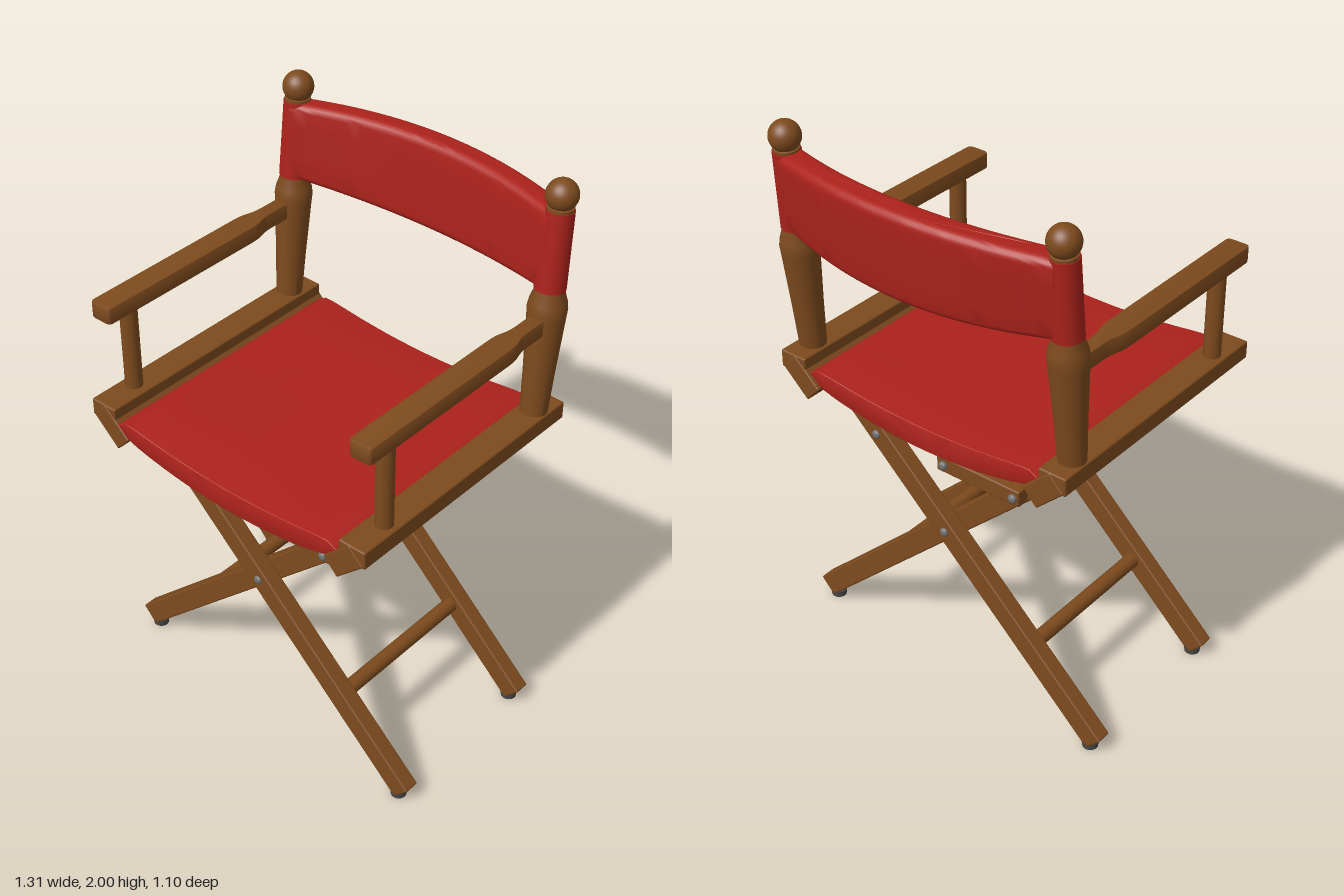
import * as THREE from 'three';
import { toCreasedNormals } from 'three/addons/utils/BufferGeometryUtils.js';
import { RoundedBoxGeometry } from 'three/addons/geometries/RoundedBoxGeometry.js';

const mat = (color) => new THREE.MeshStandardMaterial({ color });
const wood = mat(0x7d4a1d), fabric = mat(0xac221b), metal = mat(0x707070), rubber = mat(0x4a4a4a);

const SLOPE = 0.754;            // angle of the crossed legs
const PIVOT = 0.627;            // height of the leg crossing
const LEAN = 0.08;              // backward tilt of the back posts

export function createModel() {
  const model = new THREE.Group();

  function add(name, geometry, material, x, y, z, parent = model) {
    const mesh = new THREE.Mesh(geometry, material);
    mesh.name = name;
    mesh.position.set(x, y, z);
    parent.add(mesh);
    return mesh;
  }
  const box = (w, h, d, r = 0.006) => new RoundedBoxGeometry(w, h, d, 2, r);
  const rodZ = (r, length) => new THREE.CylinderGeometry(r, r, length, 20).rotateX(Math.PI / 2);

  // Curved padded strip: centre line and half thickness are functions of s = -1..1
  function strip(halfWidth, centre, half, depth, bevel) {
    const top = [], bottom = [], n = 32;
    for (let i = 0; i <= n; i++) {
      const s = -1 + 2 * i / n;
      top.push(new THREE.Vector2(s * halfWidth, centre(s) + half(s)));
      bottom.push(new THREE.Vector2(s * halfWidth, centre(s) - half(s)));
    }
    const shape = new THREE.Shape(bottom.concat(top.reverse()));
    return new THREE.ExtrudeGeometry(shape, {
      depth: depth - 2 * bevel, steps: 4, bevelEnabled: true, bevelThickness: bevel,
      bevelSize: bevel, bevelOffset: -bevel, bevelSegments: 5,
    }).translate(0, 0, bevel - depth / 2);
  }

  // Crossed legs, feet and low stretchers; the two frames are offset in z
  for (const side of [1, -1]) {
    const legZ = side > 0 ? [0.37, -0.243] : [0.307, -0.304];
    for (const z of legZ) {
      const leg = add('leg', box(1.484, 0.08, 0.058), wood,
        side * 0.122 * Math.cos(SLOPE), PIVOT - 0.122 * Math.sin(SLOPE), z);
      leg.rotation.z = -side * SLOPE;
      add('foot', new THREE.CylinderGeometry(0.03, 0.027, 0.025, 20), rubber, side * 0.6, 0.0125, z);
    }
    add('stretcher', rodZ(0.027, legZ[0] - legZ[1]), wood, side * 0.345, 0.3, (legZ[0] + legZ[1]) / 2);
  }

  // Folding braces in two halves, with bolts at the joints and leg crossings
  for (const z of [0.338, -0.274]) {
    add('braceRight', box(0.34, 0.06, 0.05), wood, -0.14, 0.898, z - 0.03);
    add('braceLeft', box(0.34, 0.06, 0.05), wood, 0.14, 0.898, z + 0.03);
    for (const [x, y] of [[-0.288, 0.898], [0, 0.898], [0.288, 0.898], [0, PIVOT]]) {
      add('bolt', rodZ(0.016, 0.122), metal, x, y, z);
      for (const end of [1, -1]) {
        const cap = add('boltHead', new THREE.SphereGeometry(0.016, 14, 10), metal, x, y, z + end * 0.061);
        cap.scale.z = 0.6;
      }
    }
  }

  // Seat: sagging fabric with softly rounded ends
  const seat = strip(0.468, (s) => 1.068 + 0.052 * s * s,
    (s) => (0.038 - 0.01 * s * s) * Math.pow(1 - Math.pow(Math.abs(s), 14), 0.5) + 0.004, 0.985, 0.003);
  add('seat', toCreasedNormals(seat, 0.6), fabric, 0, 0, 0.05);

  // Armrest plan: full width in front, narrowed towards the back post
  const plan = new THREE.Shape();
  plan.moveTo(-0.026, 0.35);
  plan.lineTo(-0.026, 0.25);
  plan.bezierCurveTo(-0.026, 0.19, -0.043, 0.2, -0.043, 0.13);
  plan.lineTo(-0.043, -0.5);
  plan.quadraticCurveTo(-0.043, -0.52, -0.023, -0.52);
  plan.lineTo(0.023, -0.52);
  plan.quadraticCurveTo(0.043, -0.52, 0.043, -0.5);
  plan.lineTo(0.043, 0.13);
  plan.bezierCurveTo(0.043, 0.2, 0.026, 0.19, 0.026, 0.25);
  plan.lineTo(0.026, 0.35);
  const armGeometry = toCreasedNormals(new THREE.ExtrudeGeometry(plan, {
    depth: 0.05, bevelEnabled: true, bevelThickness: 0.005, bevelSize: 0.005,
    bevelOffset: -0.005, bevelSegments: 2, curveSegments: 8,
  }).rotateX(-Math.PI / 2), 0.6);

  // Turned back post with a ball on top
  const postProfile = [[0, 0], [0.046, 0], [0.052, 0.15], [0.063, 0.355], [0.065, 0.385], [0.061, 0.41],
    [0.046, 0.455], [0.044, 0.71], [0.044, 0.735], [0.03, 0.74], [0.03, 0.755], [0, 0.755]]
    .map(([r, y]) => new THREE.Vector2(r, y));
  const postGeometry = toCreasedNormals(new THREE.LatheGeometry(postProfile, 32), 0.5);

  const back = new THREE.Group();
  back.name = 'back';
  back.position.set(0, 1.175, -0.355);
  back.rotation.x = -LEAN;
  model.add(back);

  for (const side of [1, -1]) {
    // Side rails: a tilted one at the leg tops and a flat one above it
    const rail = add('seatRail', box(0.14, 0.08, 1.005), wood, side * 0.5, 1.098, 0.045);
    rail.rotation.z = side * SLOPE;
    add('sideRail', box(0.105, 0.065, 1.0), wood, side * 0.533, 1.1425, 0.045);

    add('armrest', armGeometry, wood, side * 0.538, 1.49, 0);
    add('armSupport', new THREE.CylinderGeometry(0.03, 0.03, 0.335, 24), wood, side * 0.538, 1.335, 0.4);

    add('backPost', postGeometry, wood, side * 0.535, 0, 0, back);
    add('knob', new THREE.SphereGeometry(0.053, 28, 20), wood, side * 0.535, 0.774, 0, back);
    add('backSleeve', new THREE.CylinderGeometry(0.047, 0.052, 0.272, 28), fabric, side * 0.535, 0.59, 0, back);
  }

  // Backrest: bowed strip turned upright, slightly taller in the middle
  const panel = strip(0.53, (s) => 0.087 * (1 - s * s), () => 0.049, 0.312, 0.03).rotateX(-Math.PI / 2);
  const p = panel.attributes.position;
  for (let i = 0; i < p.count; i++) {
    const s = p.getX(i) / 0.53;
    p.setY(i, p.getY(i) * (1 - 0.13 * s * s));
  }
  add('backrest', toCreasedNormals(panel, 0.6), fabric, 0, 0.59, 0, back);

  return model;
}
